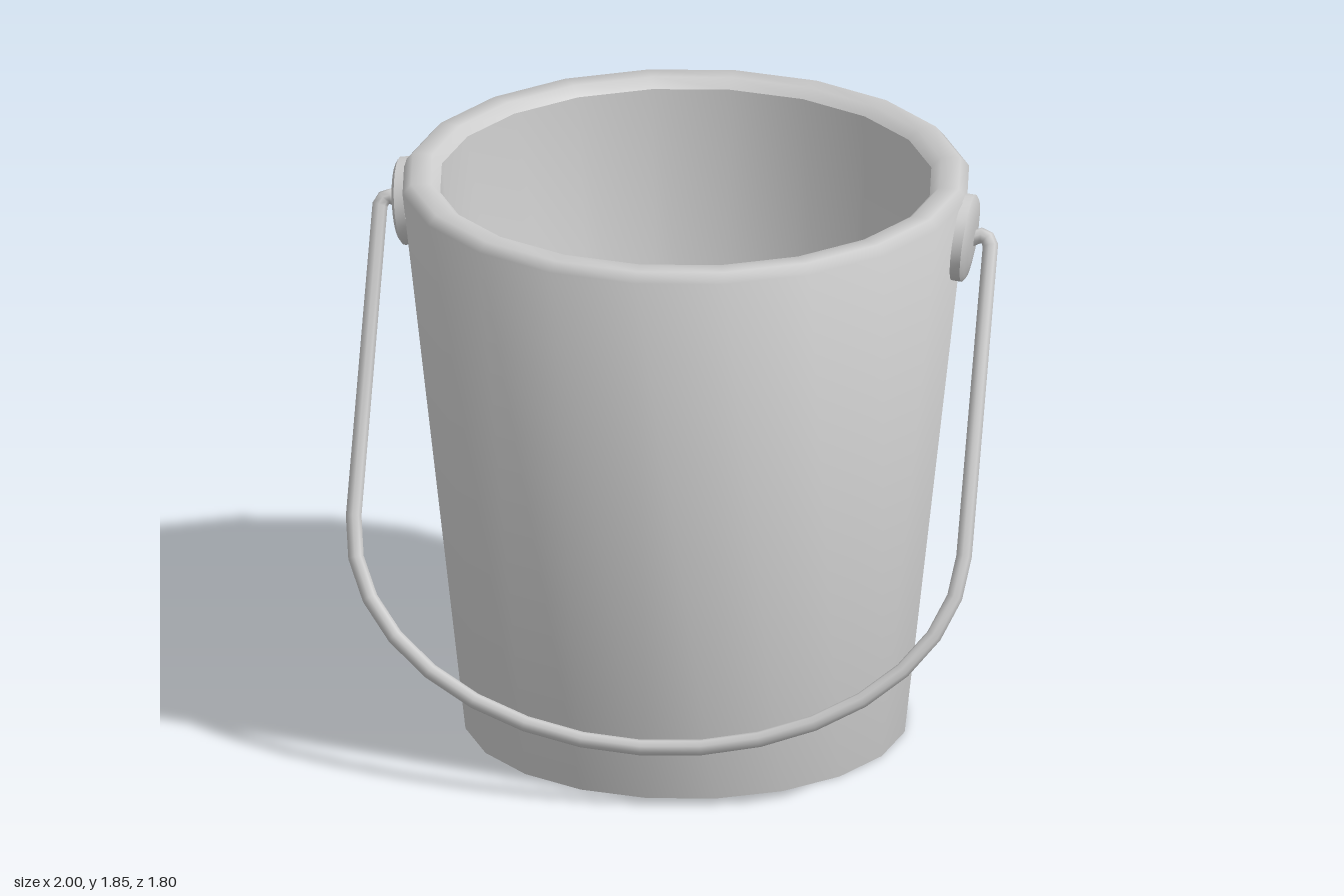
import * as THREE from 'three';
import { toCreasedNormals } from 'three/addons/utils/BufferGeometryUtils.js';

const material = new THREE.MeshStandardMaterial({ color: 0xcccccc });

function addMesh(parent, name, geometry) {
  const mesh = new THREE.Mesh(geometry, material);
  mesh.name = name;
  parent.add(mesh);
  return mesh;
}

function lathe(profile, sides) {
  return new THREE.LatheGeometry(profile.map(([r, y]) => new THREE.Vector2(r, y)), sides);
}

// Curve that passes exactly through its corners, with mitred tangents
class Polyline extends THREE.Curve {
  constructor(points) {
    super();
    this.points = points;
  }
  getPointAt(t, target = new THREE.Vector3()) {
    return target.copy(this.points[Math.round(t * (this.points.length - 1))]);
  }
  getTangentAt(t, target = new THREE.Vector3()) {
    const p = this.points;
    const i = Math.round(t * (p.length - 1));
    const dirIn = p[i].clone().sub(p[Math.max(i - 1, 0)]).normalize();
    const dirOut = p[Math.min(i + 1, p.length - 1)].clone().sub(p[i]).normalize();
    return target.copy(dirIn).add(dirOut).normalize();
  }
}

export function createModel() {
  const bucket = new THREE.Group();
  bucket.name = 'bucket';
  const sides = 20;

  // Outer wall with bottom foot ring and bevelled rim
  addMesh(bucket, 'outerWall', toCreasedNormals(lathe([
    [0.6, 0.02], [0.62, 0], [0.7, 0], [0.9, 1.82], [0.873, 1.85], [0.81, 1.85], [0.78, 1.82],
  ], sides), 0.9));

  // Inner wall running smoothly into the floor
  addMesh(bucket, 'innerWall', lathe([[0.78, 1.82], [0.61, 0.1], [0, 0.1]], sides));

  // Recessed underside inside the foot ring
  addMesh(bucket, 'underside', lathe([[0, 0.05], [0.603, 0.05], [0.6, 0.02]], sides));

  // Domed handle mounts, tilted to lie on the tapered wall
  const pivotY = 1.69;
  for (const [name, turn] of [['leftMount', 0], ['rightMount', Math.PI]]) {
    const side = new THREE.Group();
    side.name = name;
    side.rotation.y = turn;
    const disc = addMesh(side, 'mountDisc', toCreasedNormals(lathe([
      [0, -0.02], [0.14, -0.02], [0.14, 0.012], [0.125, 0.022], [0.07, 0.03], [0, 0.033],
    ], 24), 0.9));
    disc.position.set(0.893, pivotY - 0.003, 0);
    disc.rotation.z = -Math.PI / 2 - 0.11;
    bucket.add(side);
  }

  // Handle: hooked ends, straight arms and an elliptical bow
  const half = [[0.89, 0.015], [0.945, -0.008], [0.965, 0], [0.976, 0.022], [0.976, 1.01]];
  const path = half.map(([x, s]) => new THREE.Vector3(x, -s, 0));
  const steps = 16;
  for (let i = 1; i < steps; i++) {
    const a = (i / steps) * Math.PI;
    path.push(new THREE.Vector3(0.976 * Math.cos(a), -1.01 - 0.672 * Math.sin(a), 0));
  }
  for (const [x, s] of half.slice().reverse()) path.push(new THREE.Vector3(-x, -s, 0));

  const handle = new THREE.Group();
  handle.name = 'handle';
  addMesh(handle, 'handleRod', new THREE.TubeGeometry(new Polyline(path), path.length - 1, 0.025, 8));

  // Flat caps on the rod ends, hidden in the mounts
  for (const s of [1, -1]) {
    const cap = addMesh(handle, 'rodCap', new THREE.CircleGeometry(0.025, 8));
    cap.position.set(s * 0.89, -0.015, 0);
    cap.rotation.y = -s * Math.PI / 2;
  }
  handle.position.y = pivotY;
  handle.rotation.x = -0.493;
  bucket.add(handle);

  return bucket;
}
